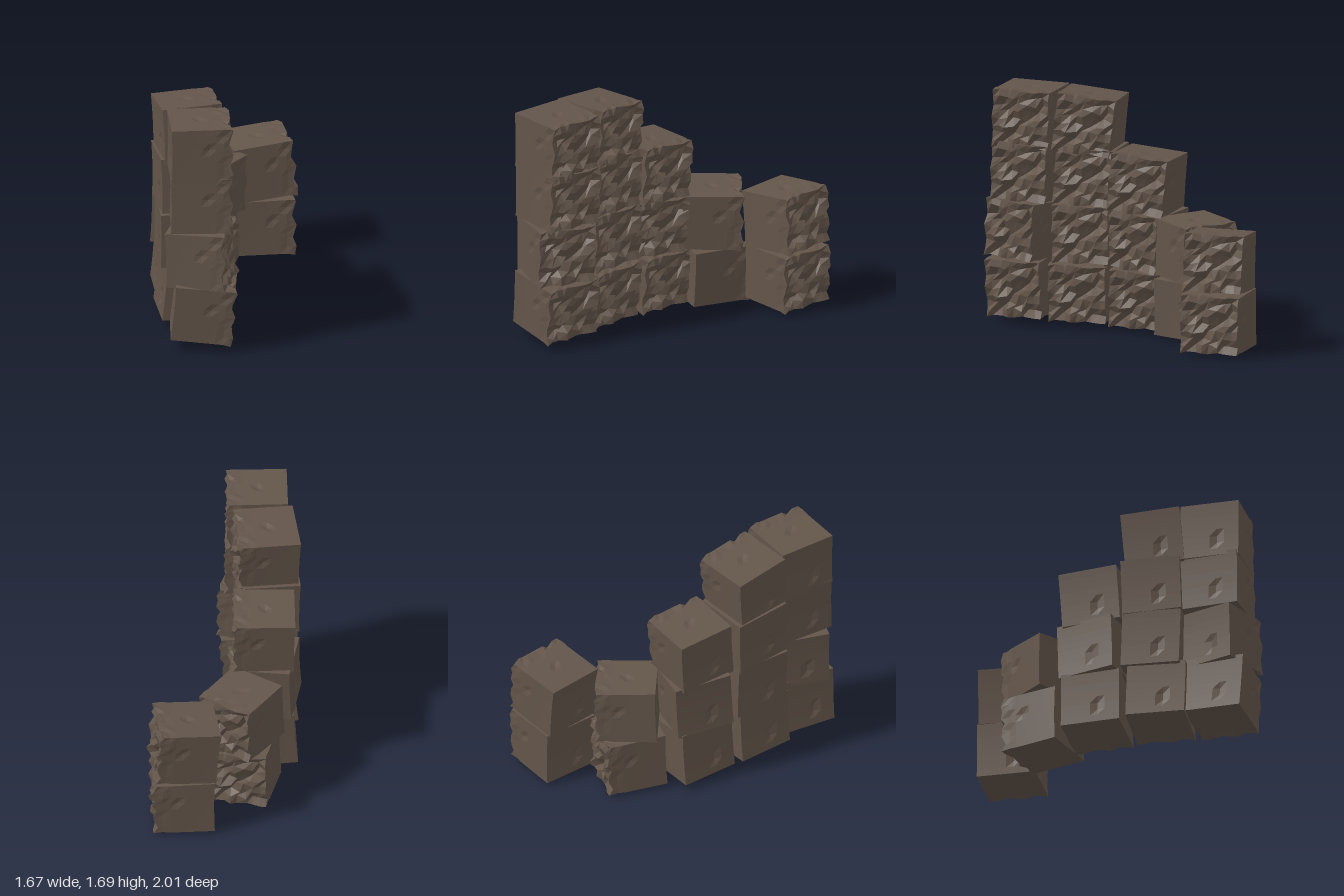
import * as THREE from 'three';

const W = 0.42, H = 0.405, SEG = 8;

// Repeatable value in -1..1 for a grid point
function hash(i, j, k, s) {
  const v = Math.sin(i * 12.99 + j * 78.23 + k * 37.72 + s * 19.19) * 43758.5453;
  return (v - Math.floor(v)) * 2 - 1;
}

// Rough stone: five fairly flat faces and a broken one at local -z
function makeStone() {
  const geo = new THREE.BoxGeometry(W, H, W, SEG, SEG, SEG);
  const p = geo.attributes.position;
  const v = new THREE.Vector3();
  for (let n = 0; n < p.count; n++) {
    v.fromBufferAttribute(p, n);
    const i = Math.round((v.x / W + 0.5) * SEG);
    const j = Math.round((v.y / H + 0.5) * SEG);
    const k = Math.round((v.z / W + 0.5) * SEG);
    const inX = i > 0 && i < SEG, inY = j > 0 && j < SEG;
    if (k === 0) {
      // broken face with a diagonal gouge and ragged rim
      v.z += 0.02 * hash(i, j, k, 1);
      if (inX) v.x += 0.016 * hash(i, j, k, 2);
      v.y += (inY ? 0.016 : 0.012) * hash(i, j, k, 3);
      if (inX && inY && (i - j === 1 || i + j === 7)) v.z += 0.035 + 0.02 * hash(i, j, k, 4);
    } else if (k === 1) {
      v.y += 0.006 * hash(i, j, k, 5);
      v.x += 0.006 * hash(i, j, k, 6);
    } else if (j === SEG && i === 4 && k === 4) {
      v.y -= 0.012;                       // chip in the top
    } else if (k === SEG && i === 5 && (j === 2 || j === 3)) {
      v.z -= 0.012;                       // chip in the front
    } else if ((i === 0 || i === SEG) && j === 5 && k === 3) {
      v.x *= 0.95;                        // chips in the sides
    }
    // slightly bowed and skewed body
    const t = j / SEG - 0.5;
    v.x += 0.012 * t * (k / SEG - 0.5);
    v.z += 0.02 * (t * t - 0.25) * (k / SEG);
    p.setXYZ(n, v.x, v.y, v.z);
  }
  const flat = geo.toNonIndexed();
  flat.computeVertexNormals();
  return flat;
}

// Columns along the curved wall; each stone: x, y, z, turn in degrees, pitch, roll
const columns = {
  endColumn: [
    [-0.53, 0.245, -0.71, 32, 0.0, 0.01],
    [-0.54, 0.665, -0.70, 27, 0.09, 0.02]],
  cornerColumn: [
    [-0.50, 0.240, -0.155, -40, -0.02, -0.03],
    [-0.49, 0.655, -0.165, -18, -0.03, -0.02]],
  lowColumn: [
    [-0.24, 0.265, 0.22, 34, -0.08, 0.03],
    [-0.24, 0.67, 0.23, 46, -0.03, 0.06],
    [-0.24, 1.07, 0.215, 35, 0.02, 0.08]],
  tallColumn: [
    [0.14, 0.28, 0.49, 31, -0.09, 0.0],
    [0.11, 0.685, 0.49, 33, 0.0, -0.02],
    [0.10, 1.095, 0.49, 30, 0.02, 0.05],
    [0.105, 1.465, 0.485, 28, 0.03, 0.1]],
  outerColumn: [
    [0.525, 0.295, 0.69, 39, -0.1, -0.02],
    [0.51, 0.69, 0.69, 53, 0.03, 0.02],
    [0.49, 1.11, 0.685, 38, 0.0, 0.02],
    [0.485, 1.49, 0.69, 35, 0.0, 0.01]],
};

export function createModel() {
  const brownStone = new THREE.MeshStandardMaterial({ color: 0x63554a });
  brownStone.name = 'brownStone';
  const stoneGeo = makeStone();
  const wall = new THREE.Group();
  wall.name = 'ruinedWall';
  for (const [name, stones] of Object.entries(columns)) {
    const column = new THREE.Group();
    column.name = name;
    stones.forEach(([x, y, z, turn, pitch, roll], n) => {
      const stone = new THREE.Mesh(stoneGeo, brownStone);
      stone.name = `stone${n + 1}`;
      stone.position.set(x, y, z);
      stone.rotation.set(pitch, -THREE.MathUtils.degToRad(turn), roll, 'YXZ');
      column.add(stone);
    });
    wall.add(column);
  }
  return wall;
}
